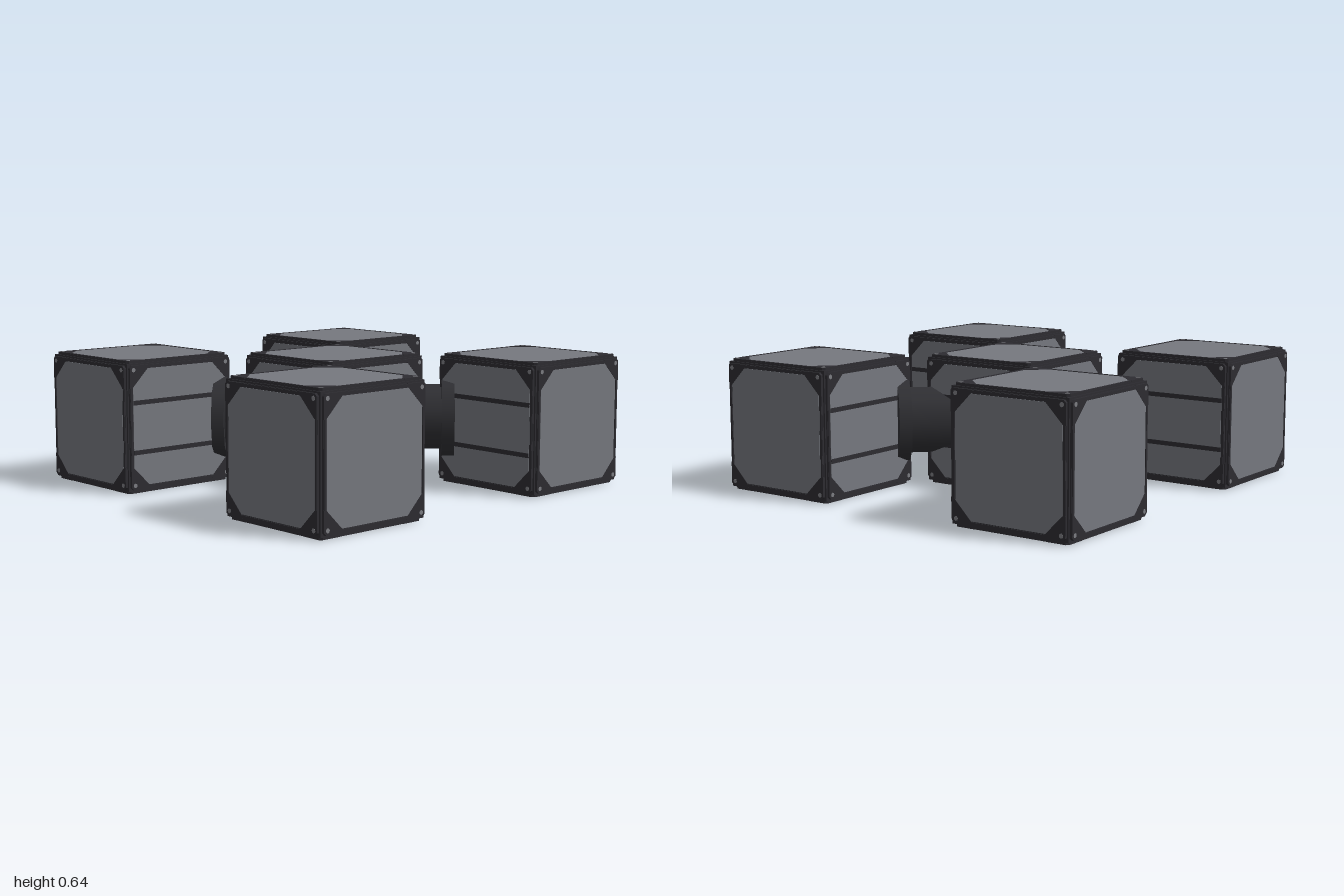
import * as THREE from 'three';

const H = 0.32;        // half the size of a crate
const SPREAD = 0.68;   // offset of the outer crates

export function createModel() {
  const make = (name, color) => {
    const m = new THREE.MeshStandardMaterial({ color });
    m.name = name;
    return m;
  };
  const panelGrey = make('panel grey', 0x76787f);
  const frameDark = make('frame charcoal', 0x2d2c31);
  const tubeDark = make('tube charcoal', 0x303034);
  const rivetGrey = make('rivet grey', 0x7c7d82);

  const add = (parent, name, geo, mat, x = 0, y = 0, z = 0) => {
    const mesh = new THREE.Mesh(geo, mat);
    mesh.name = name;
    mesh.position.set(x, y, z);
    parent.add(mesh);
    return mesh;
  };
  const plate = (points, depth) => new THREE.ExtrudeGeometry(
    new THREE.Shape(points.map(([x, y]) => new THREE.Vector2(x, y))),
    { depth, bevelEnabled: false });

  // square with cut corners
  const octagon = (h, c) => [
    [h - c, -h], [h, c - h], [h, h - c], [h - c, h],
    [c - h, h], [-h, h - c], [-h, c - h], [c - h, -h]];

  // shared crate geometry; faces are built looking along +z
  const core = new THREE.BoxGeometry(0.614, 0.614, 0.614);
  const backing = plate(octagon(0.299, 0.012), 0.015);
  const panel = plate(octagon(0.281, 0.085), 0.007);
  const gusset = plate([[0.299, 0.19], [0.299, 0.287], [0.287, 0.299], [0.19, 0.299], [0.193, 0.284], [0.284, 0.193]], 0.007);
  const rivet = new THREE.CylinderGeometry(0.011, 0.011, 0.006, 8).rotateX(Math.PI / 2);
  const slat = new THREE.BoxGeometry(0.562, 0.022, 0.008);
  const edge = new THREE.BoxGeometry(0.56, 0.012, 0.006);

  function face(barred) {
    const g = new THREE.Group();
    add(g, 'backing', backing, frameDark, 0, 0, H - 0.0195);
    add(g, 'panel', panel, panelGrey, 0, 0, H - 0.0085);
    for (let i = 0; i < 4; i++) {
      const corner = new THREE.Group();
      corner.name = 'corner';
      corner.rotation.z = i * Math.PI / 2;
      add(corner, 'gusset', gusset, frameDark, 0, 0, H - 0.007);
      add(corner, 'rivet', rivet, rivetGrey, 0.278, 0.278, H - 0.002);
      add(corner, 'rim', edge, frameDark, 0, 0.291, H - 0.003);
      g.add(corner);
    }
    if (barred) for (const y of [-0.12, 0.12]) add(g, 'slat', slat, frameDark, 0, y, H - 0.003);
    return g;
  }

  // sides run front, left, back, right
  function crate(name, x, z, barredSides) {
    const g = new THREE.Group();
    g.name = name;
    g.position.set(x, H, z);
    add(g, 'core', core, frameDark);
    for (let i = 0; i < 4; i++) {
      const f = face(barredSides[i]);
      f.name = 'side';
      f.rotation.y = i * Math.PI / 2;
      g.add(f);
    }
    for (const s of [-1, 1]) {
      const f = face(false);
      f.name = s < 0 ? 'top' : 'bottom';
      f.rotation.x = s * Math.PI / 2;
      g.add(f);
    }
    return g;
  }

  const model = new THREE.Group();
  model.name = 'linkedCrates';
  model.add(crate('centreCrate', 0, 0, [true, true, true, true]));

  // outer crates carry slats on the two inward sides
  for (const sx of [-1, 1]) for (const sz of [-1, 1]) {
    model.add(crate('outerCrate', sx * SPREAD, sz * SPREAD, [sz < 0, sx < 0, sz > 0, sx > 0]));
  }

  // nine-sided tubes on the diagonals
  const tube = (r, from, to) => new THREE.CylinderGeometry(r, r, to - from, 9, 1, false, Math.PI / 2)
    .rotateX(Math.PI / 2).translate(0, 0, (from + to) / 2);
  const neck = tube(0.165, 0.2, 0.54);
  const flange = tube(0.203, 0.532, 0.594);
  for (let i = 0; i < 4; i++) {
    const arm = new THREE.Group();
    arm.name = 'connector';
    arm.position.y = H;
    arm.rotation.y = Math.PI / 4 + i * Math.PI / 2;
    add(arm, 'neck', neck, tubeDark);
    add(arm, 'flange', flange, tubeDark);
    model.add(arm);
  }
  return model;
}
